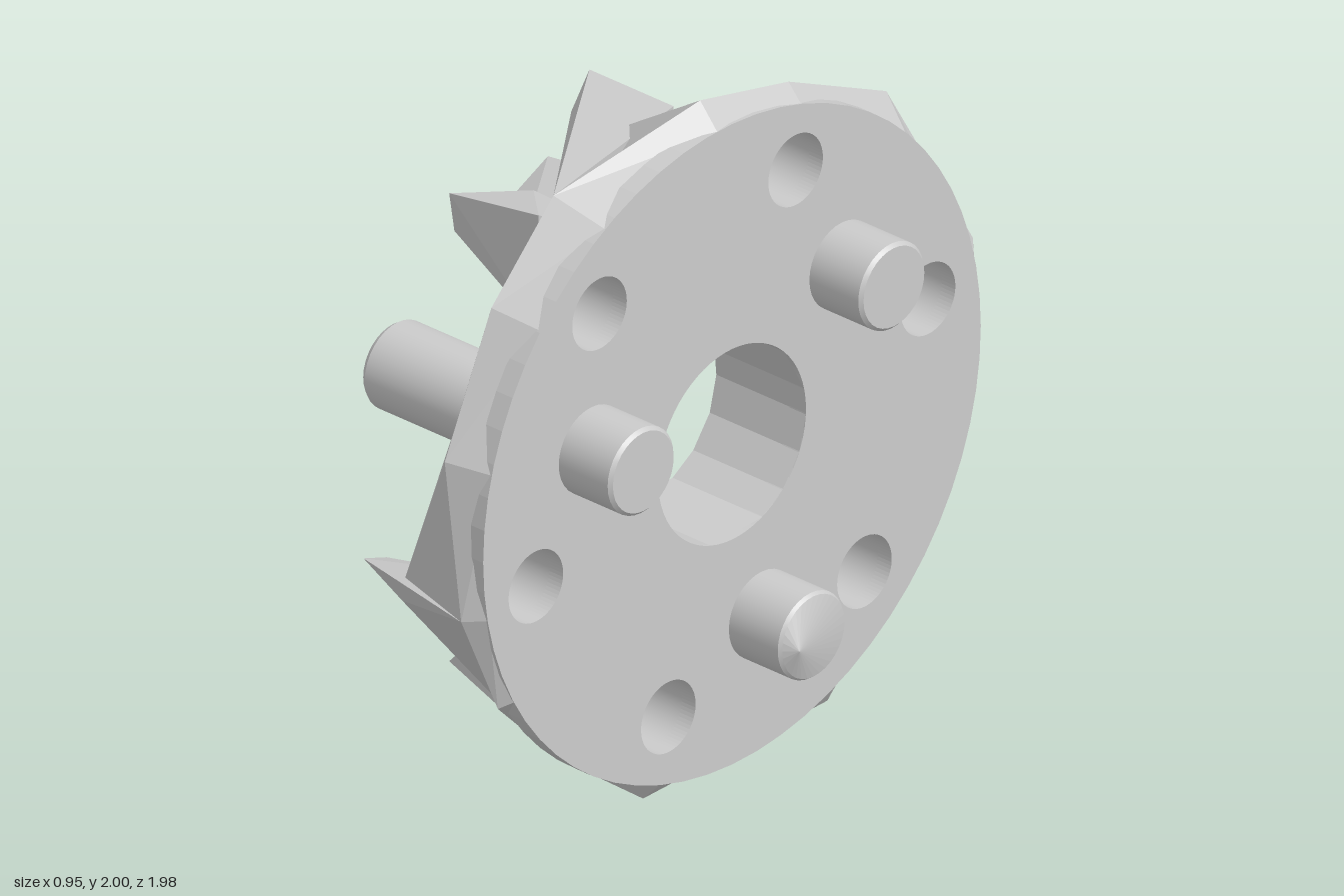
import * as THREE from 'three';
import { ConvexGeometry } from 'three/addons/geometries/ConvexGeometry.js';
import { toCreasedNormals } from 'three/addons/utils/BufferGeometryUtils.js';

const CY = 0.97, CZ = 0.01, FRONT = 0.25, BACK = -0.08, BORE = 0.285, FLOOR = 0.01;
const flat = new THREE.MeshStandardMaterial({ color: 0xcccccc, flatShading: true });
const smooth = new THREE.MeshStandardMaterial({ color: 0xcccccc });
const inner = new THREE.MeshStandardMaterial({ color: 0xcccccc, side: THREE.BackSide });

// chipped outer rim: x, y, z, radius of the back face at that angle
const RIM = [
  [0.19, 1.93, -0.27, 0.68], [0.19, 2.0, 0.07, 0.86], [0.09, 1.85, 0.53, 0.76],
  [0.10, 1.61, 0.78, 0.74], [0.12, 1.23, 0.98, 0.75], [0.19, 0.78, 0.99, 0.93],
  [0.22, 0.49, 0.88, 0.8], [0.02, 0.20, 0.53, 0.84], [0.20, 0.0, 0.30, 0.95],
  [0.20, 0.03, -0.41, 0.82], [0.15, 0.23, -0.69, 0.8], [0.15, 0.55, -0.91, 0.8],
  [0.19, 0.92, -0.99, 0.95], [0.19, 1.20, -0.98, 0.94], [0.12, 1.71, -0.72, 0.72],
].reverse();

// pocket and pin centres as [y, z]
const POCKETS = [[1.70, -0.235], [1.125, -0.745], [0.40, -0.50], [0.245, 0.255], [0.825, 0.765], [1.55, 0.52]];
const PINS = [[1.35, -0.415], [1.155, 0.55], [0.42, -0.105]];

// jagged claws on the back, each a convex wedge
const CLAWS = [
  [[-0.39, 1.82, -0.11], [-0.39, 1.72, -0.04], [-0.39, 1.66, -0.07], [-0.08, 1.82, -0.11], [-0.08, 1.72, -0.02], [-0.08, 1.65, -0.10], [0.09, 1.85, 0.53]],
  [[-0.39, 1.65, 0.43], [-0.39, 1.53, 0.41], [-0.28, 1.62, 0.22], [-0.20, 1.52, 0.42], [-0.08, 1.36, 0.42], [-0.06, 1.70, 0.43], [-0.06, 1.6, 0.2]],
  [[-0.39, 1.62, 0.05], [-0.39, 1.55, 0.19], [-0.28, 1.58, 0.22], [-0.06, 1.66, 0.05], [-0.06, 1.5, 0.25]],
  [[-0.39, 0.68, 0.76], [-0.39, 0.65, 0.67], [-0.20, 0.64, 0.81], [0.19, 0.78, 0.99], [0.02, 0.20, 0.53], [-0.08, 0.74, 0.72]],
  [[-0.39, 0.66, 0.47], [-0.37, 0.54, 0.43], [-0.08, 0.76, 0.58], [-0.08, 0.5, 0.5]],
  [[-0.39, 0.25, 0.43], [-0.24, 0.40, 0.46], [0.02, 0.20, 0.53], [-0.06, 0.45, 0.46], [-0.06, 0.3, 0.3]],
  [[-0.39, 0.99, -0.84], [-0.39, 0.95, -0.83], [-0.39, 0.80, -0.62], [-0.08, 0.99, -0.84], [-0.07, 0.69, -0.75], [-0.08, 0.8, -0.56]],
  [[-0.39, 0.58, -0.62], [-0.39, 0.55, -0.58], [-0.07, 0.69, -0.75], [-0.06, 0.4, -0.62], [-0.06, 0.6, -0.5]],
];

function add(parent, name, geometry, material) {
  const mesh = new THREE.Mesh(geometry, material);
  mesh.name = name;
  parent.add(mesh);
  return mesh;
}

// pin along x with small chamfers at both ends
function pinGeometry(y, z) {
  const profile = [[0, -0.48], [0.117, -0.48], [0.127, -0.465], [0.127, 0.43], [0.117, 0.44], [0, 0.44]];
  const lathe = new THREE.LatheGeometry(profile.map(([r, h]) => new THREE.Vector2(r, h)), 32);
  return toCreasedNormals(lathe, 0.5).rotateZ(-Math.PI / 2).translate(0, y, z);
}

// open tube along x from the pocket floor to the plate
function pocketWall(y, z) {
  const x1 = FRONT - 0.05;
  return new THREE.CylinderGeometry(0.105, 0.105, x1 - FLOOR, 32, 1, true)
    .rotateZ(-Math.PI / 2).translate((FLOOR + x1) / 2, y, z);
}

// faceted body: rings from plate edge over the rim and back into the bore
function bodyGeometry() {
  const n = RIM.length, pos = [], index = [];
  const angles = RIM.map(([, y, z]) => Math.atan2(y - CY, z - CZ));
  const ring = (x, radius) => angles.forEach((a, j) => {
    const r = radius(j);
    pos.push(x, CY + r * Math.sin(a), CZ + r * Math.cos(a));
  });
  ring(FRONT, () => 0.955);
  RIM.forEach(([x, y, z]) => pos.push(x, y, z));
  ring(BACK, (j) => RIM[j][3]);
  ring(BACK, () => BORE);
  ring(FRONT, () => BORE);
  for (let i = 0; i < 4; i++) {
    for (let j = 0; j < n; j++) {
      const k = (j + 1) % n, a = i * n + j, b = i * n + k, c = a + n, d = b + n;
      index.push(a, b, c, b, d, c);
    }
  }
  const g = new THREE.BufferGeometry();
  g.setAttribute('position', new THREE.Float32BufferAttribute(pos, 3));
  g.setIndex(index);
  g.computeVertexNormals();
  return g;
}

// round front plate pierced by the bore and the pockets
function plateGeometry() {
  const shape = new THREE.Shape().absarc(-CZ, CY, 0.958, 0, Math.PI * 2);
  const pierce = (y, z, r) => shape.holes.push(new THREE.Path().absarc(-z, y, r, 0, Math.PI * 2, true));
  pierce(CY, CZ, BORE);
  POCKETS.forEach(([y, z]) => pierce(y, z, 0.105));
  return new THREE.ExtrudeGeometry(shape, { depth: 0.06, bevelEnabled: false, curveSegments: 32 })
    .rotateY(Math.PI / 2).translate(FRONT - 0.06, 0, 0);
}

export function createModel() {
  const model = new THREE.Group();
  model.name = 'clawedDisc';
  add(model, 'body', bodyGeometry(), flat);
  add(model, 'frontPlate', plateGeometry(), smooth);

  // blind round pockets behind the plate
  POCKETS.forEach(([y, z], i) => {
    add(model, `pocketWall${i + 1}`, pocketWall(y, z), inner);
    add(model, `pocketFloor${i + 1}`, new THREE.CircleGeometry(0.105, 32).rotateY(Math.PI / 2).translate(FLOOR, y, z), smooth);
  });

  // pins running through the disc
  PINS.forEach(([y, z], i) => add(model, `pin${i + 1}`, pinGeometry(y, z), smooth));

  // off-centre point on the lowest pin
  const [py, pz] = PINS[2];
  const tip = new THREE.ConeGeometry(0.12, 0.035, 32).rotateZ(-Math.PI / 2);
  const p = tip.attributes.position;
  for (let i = 0; i < p.count; i++) if (p.getX(i) > 0) p.setZ(i, p.getZ(i) + 0.09);
  add(model, 'pinTip', tip.translate(0.4575, py, pz), flat);

  CLAWS.forEach((pts, i) => add(model, `claw${i + 1}`,
    new ConvexGeometry(pts.map((v) => new THREE.Vector3(...v))), flat));
  return model;
}
